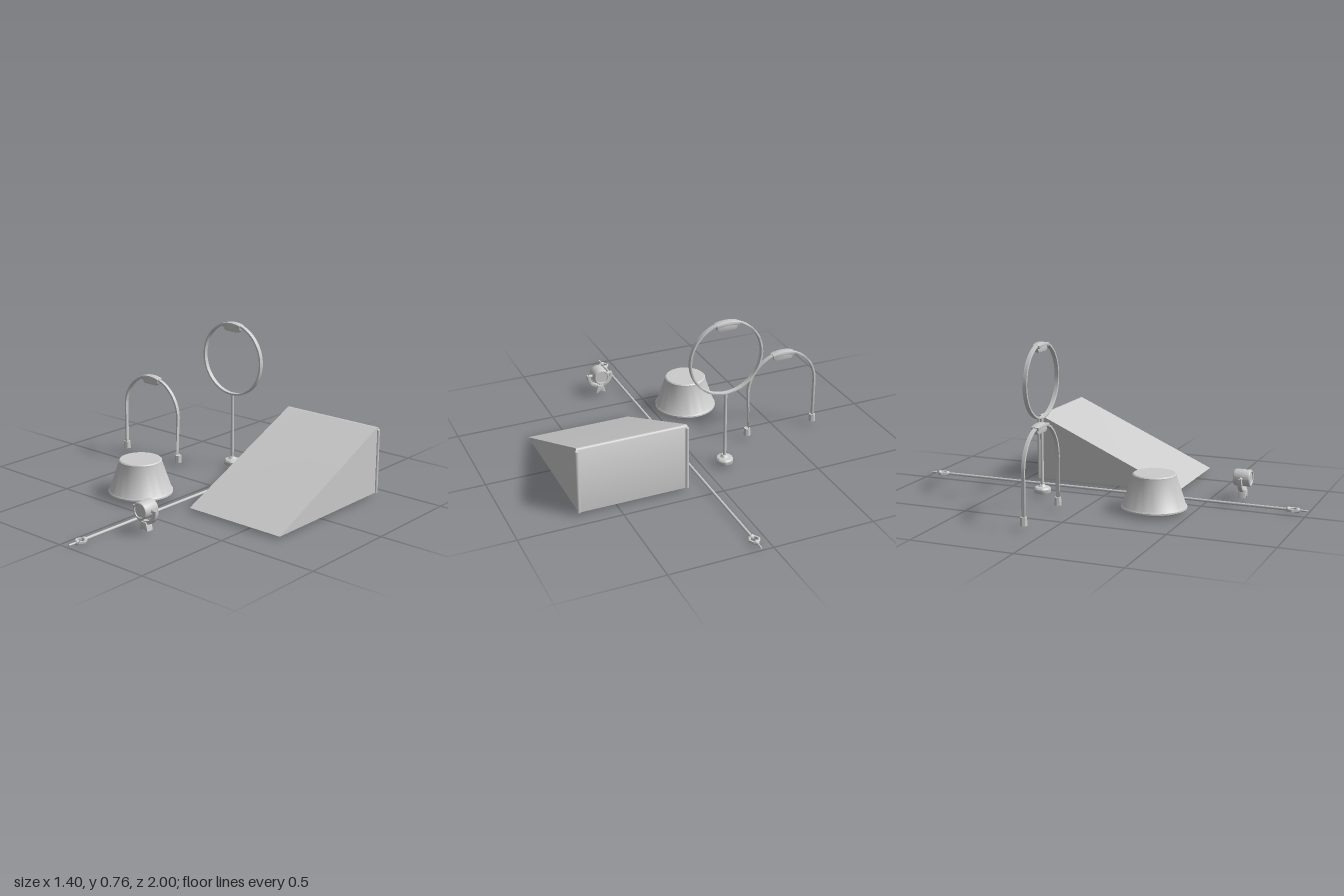
import * as THREE from 'three';
import { toCreasedNormals } from 'three/addons/utils/BufferGeometryUtils.js';

const mat = new THREE.MeshStandardMaterial({ color: 0xcccccc });
const matTwo = new THREE.MeshStandardMaterial({ color: 0xcccccc, side: THREE.DoubleSide });

function add(parent, name, geo, x = 0, y = 0, z = 0, m = mat) {
  const mesh = new THREE.Mesh(geo, m);
  mesh.name = name;
  mesh.position.set(x, y, z);
  parent.add(mesh);
  return mesh;
}

function group(parent, name, x, y, z) {
  const g = new THREE.Group();
  g.name = name;
  g.position.set(x, y, z);
  parent.add(g);
  return g;
}

// Extrude a shape along z, centred on z = 0
function slab(shape, depth, bevel = 0) {
  const geo = new THREE.ExtrudeGeometry(shape, {
    depth: depth - 2 * bevel, curveSegments: 32, bevelEnabled: bevel > 0,
    bevelSize: bevel, bevelThickness: bevel, bevelOffset: -bevel, bevelSegments: 2,
  });
  geo.translate(0, 0, -depth / 2 + bevel);
  return toCreasedNormals(geo, 0.6);
}

// Curved band between two radii and two angles
function band(r0, r1, a0, a1) {
  const s = new THREE.Shape();
  s.absarc(0, 0, r1, a0, a1, false);
  s.absarc(0, 0, r0, a1, a0, true);
  s.closePath();
  return s;
}

function lathe(points, segments = 32) {
  const geo = new THREE.LatheGeometry(points.map(p => new THREE.Vector2(...p)), segments);
  return toCreasedNormals(geo, 0.6);
}

// Curved cap and hanging badge at the top of a hoop of radius r
function badge(parent, r) {
  const a = 0.32;
  add(parent, 'hoopCap', slab(band(r - 0.014, r + 0.003, Math.PI / 2 - a, Math.PI / 2 + a), 0.037, 0.002));
  const s = new THREE.Shape();
  const y = r - 0.013, b = r - 0.043;
  s.moveTo(-0.054, y - 0.008);
  s.quadraticCurveTo(-0.05, b, -0.032, b);
  s.lineTo(0.032, b);
  s.quadraticCurveTo(0.05, b, 0.054, y - 0.008);
  s.quadraticCurveTo(0, y + 0.012, -0.054, y - 0.008);
  add(parent, 'badge', slab(s, 0.02, 0.003));
}

function buildArch(root) {
  const g = group(root, 'archGate', -0.5, 0.265, -0.105);
  const R = 0.19, r = 0.179, leg = -0.2;
  const s = new THREE.Shape();
  s.moveTo(R, leg);
  s.absarc(0, 0, R, 0, Math.PI, false);
  s.lineTo(-R, leg);
  s.lineTo(-r, leg);
  s.absarc(0, 0, r, Math.PI, 0, true);
  s.lineTo(r, leg);
  add(g, 'archBand', slab(s, 0.018, 0.002));
  badge(g, R);
  for (const side of [-1, 1]) {
    add(g, 'archFoot', toCreasedNormals(new THREE.CylinderGeometry(0.016, 0.018, 0.038, 8), 0.5),
      side * 0.184, -0.217, 0);
  }
}

function buildRing(root) {
  const g = group(root, 'ringGate', -0.105, 0.577, -0.285);
  const s = new THREE.Shape();
  s.absarc(0, 0, 0.187, 0, Math.PI * 2, false);
  const hole = new THREE.Path();
  hole.absarc(0, 0, 0.177, 0, Math.PI * 2, true);
  s.holes.push(hole);
  add(g, 'ringBand', slab(s, 0.022, 0.002));
  badge(g, 0.184);
  add(g, 'ringPost', new THREE.CylinderGeometry(0.008, 0.008, 0.34, 16), 0, -0.353, 0);
  // Hollow-bottomed stand
  add(g, 'ringStand', lathe([[0, 0.015], [0.032, 0.012], [0.034, 0], [0.04, 0], [0.042, 0.004],
    [0.042, 0.02], [0.036, 0.028], [0.02, 0.031], [0.012, 0.042], [0, 0.042]]), 0, -0.557, 0, matTwo);
}

function buildPedestal(root) {
  add(root, 'pedestal', lathe([[0, 0], [0.148, 0], [0.156, 0.006], [0.156, 0.014], [0.15, 0.02],
    [0.104, 0.158], [0.104, 0.165], [0.098, 0.17], [0, 0.17]], 40), -0.167, 0.02, 0.322);
}

function buildRamp(root) {
  const g = group(root, 'ramp', 0.42, 0, 0);
  // Side profile drawn as (-z, y), then turned to run across x
  const s = new THREE.Shape();
  s.moveTo(-0.325, 0.02);
  s.lineTo(0.425, 0.02);
  s.lineTo(0.425, 0.342);
  s.quadraticCurveTo(0.423, 0.353, 0.41, 0.348);
  s.closePath();
  const geo = slab(s, 0.534);
  geo.rotateY(Math.PI / 2);
  add(g, 'rampWedge', geo);
  // Rounded seams on the back corners
  for (const side of [-1, 1]) {
    add(g, 'rampSeam', new THREE.CapsuleGeometry(0.009, 0.3, 4, 12), side * 0.266, 0.183, -0.422);
    add(g, 'rampSeamFoot', new THREE.CylinderGeometry(0.009, 0.009, 0.03, 12), side * 0.266, 0.035, -0.422);
  }
}

function buildLine(root) {
  const g = group(root, 'groundLine', 0.06, 0.018, 0);
  const rod = (len, z, r) => {
    const geo = new THREE.CylinderGeometry(r, r, len, 12);
    geo.rotateX(Math.PI / 2);
    return add(g, 'lineRod', geo, 0, 0, z);
  };
  rod(1.81, 0, 0.007);
  for (const side of [-1, 1]) {
    // Hexagonal eyelet with a knot either side and a tail
    const eye = new THREE.TorusGeometry(0.024, 0.007, 8, 6);
    eye.rotateX(Math.PI / 2);
    add(g, 'eyelet', toCreasedNormals(eye, 0.7), 0, 0, side * 0.93);
    for (const z of [0.907, 0.953]) {
      const knot = add(g, 'knot', new THREE.SphereGeometry(0.013, 12, 8), 0, 0, side * z);
      knot.scale.set(1, 1, 0.8);
    }
    rod(0.045, side * 0.9775, 0.005);
  }
}

function buildLamp(root) {
  const g = group(root, 'lamp', 0.185, 0.117, 0.65);
  // Round housing with stepped front and back
  const body = lathe([[0, -0.036], [0.03, -0.036], [0.032, -0.041], [0.038, -0.041], [0.041, -0.036],
    [0.041, 0.036], [0.038, 0.041], [0.032, 0.041], [0.03, 0.036], [0, 0.036]], 20);
  body.rotateX(Math.PI / 2);
  add(g, 'lampHousing', body);
  // Yoke, pivots and foot
  add(g, 'lampYoke', slab(band(0.053, 0.07, Math.PI - 0.1, Math.PI * 2 + 0.1), 0.022, 0.002));
  for (const side of [-1, 1]) {
    const pin = new THREE.CylinderGeometry(0.009, 0.009, 0.024, 12);
    pin.rotateZ(Math.PI / 2);
    add(g, 'lampPivot', pin, side * 0.049, 0, 0);
  }
  const s = new THREE.Shape();
  s.moveTo(-0.026, -0.097);
  s.quadraticCurveTo(-0.02, -0.07, -0.014, -0.057);
  s.lineTo(0.014, -0.057);
  s.quadraticCurveTo(0.02, -0.07, 0.026, -0.097);
  s.lineTo(0.013, -0.097);
  s.quadraticCurveTo(0, -0.083, -0.013, -0.097);
  s.closePath();
  add(g, 'lampFoot', slab(s, 0.036, 0.002));
}

export function createModel() {
  const root = new THREE.Group();
  root.name = 'obstacleCourse';
  buildArch(root);
  buildRing(root);
  buildPedestal(root);
  buildRamp(root);
  buildLine(root);
  buildLamp(root);
  return root;
}
